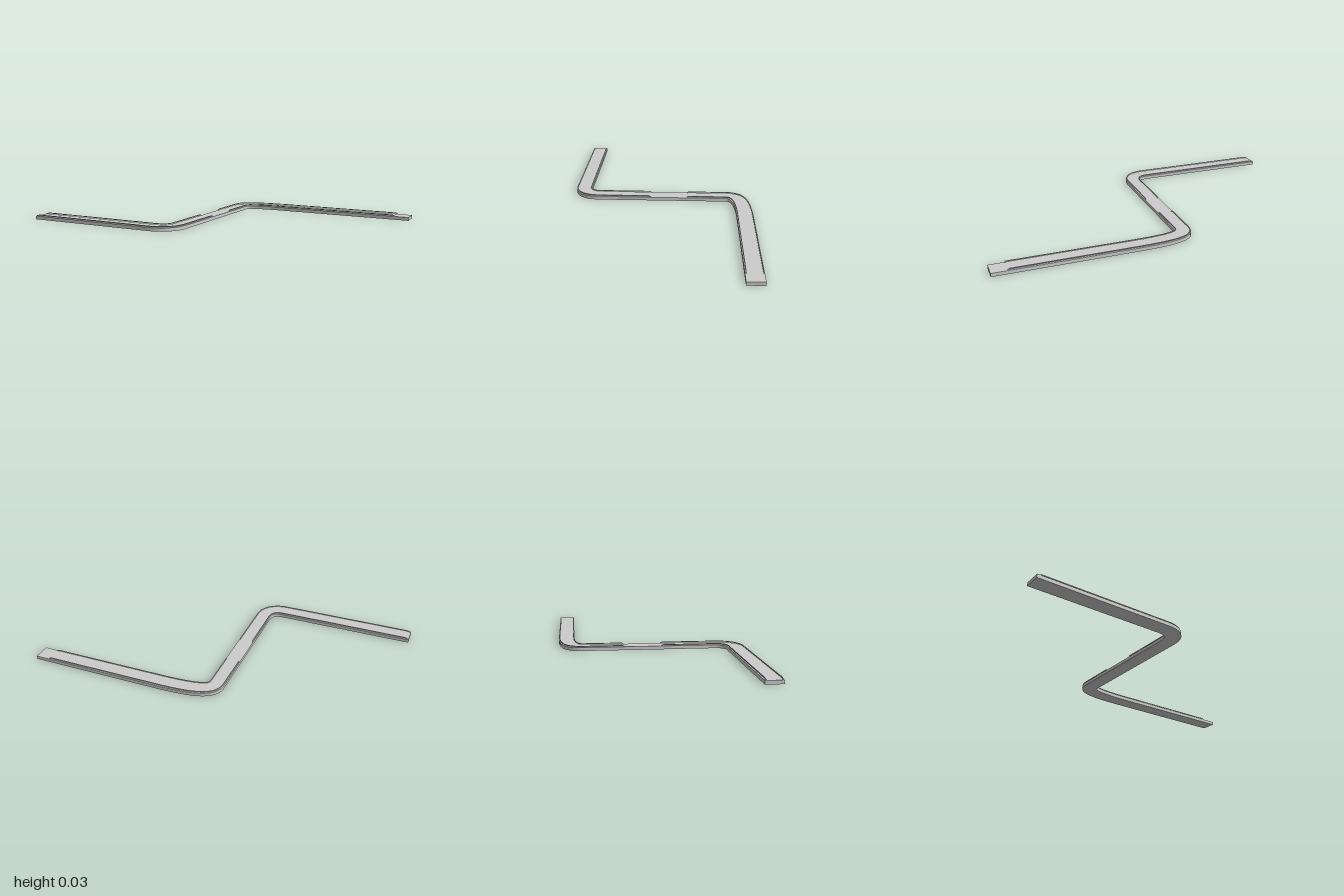
import * as THREE from 'three';

const V = (x, z) => new THREE.Vector2(x, z);
const material = new THREE.MeshStandardMaterial({ color: 0xcccccc, flatShading: true });

// Samples of a bend in plan (x, z), each with its travel direction
function bend(a, b, c, d, n = 14) {
  const curve = new THREE.CubicBezierCurve(a, b, c, d);
  return Array.from({ length: n + 1 }, (_, i) => ({ p: curve.getPoint(i / n), t: curve.getTangent(i / n) }));
}

const frontBend = bend(V(-0.2, 0.49), V(-0.13, 0.49), V(-0.0865, 0.45), V(-0.0865, 0.38));
const backBend = bend(V(-0.0865, -0.39), V(-0.0865, -0.46), V(-0.03, -0.488), V(0.2, -0.491));
const alongX = (x, z) => ({ p: V(x, z), t: V(1, 0) });
const alongZ = (z) => ({ p: V(-0.0865, z), t: V(0, -1) });

// Sweeps a rectangular section along the path; section(i, halfWidth) gives [inner, outer, bottom, top]
function sweep(name, path, section) {
  const pos = [], idx = [];
  path.forEach(({ p, t }, i) => {
    const halfWidth = 0.044 + 0.004 * Math.abs(t.x);
    const [s0, s1, y0, y1] = section(i, halfWidth);
    for (const [s, y] of [[s0, y0], [s1, y0], [s1, y1], [s0, y1]]) {
      pos.push(p.x - t.y * s, y, p.y + t.x * s);
    }
  });
  for (let k = 0; k < path.length - 1; k++) {
    for (let i = 0; i < 4; i++) {
      const a = k * 4 + i, b = k * 4 + (i + 1) % 4;
      idx.push(a, a + 4, b + 4, a, b + 4, b);
    }
  }
  const e = (path.length - 1) * 4;
  idx.push(0, 1, 2, 0, 2, 3, e, e + 2, e + 1, e, e + 3, e + 2);
  const indexed = new THREE.BufferGeometry();
  indexed.setAttribute('position', new THREE.Float32BufferAttribute(pos, 3));
  indexed.setIndex(idx);
  const geometry = indexed.toNonIndexed();
  geometry.computeVertexNormals();
  const mesh = new THREE.Mesh(geometry, material);
  mesh.name = name;
  return mesh;
}

export function createModel() {
  const group = new THREE.Group();
  group.name = 'zigzagRoad';

  // Road slab
  const road = [alongX(-1, 0.49), ...frontBend, ...backBend, alongX(1, -0.491)];
  group.add(sweep('roadSlab', road, (i, w) => [-w, w, 0, 0.02]));

  // Guard rails on both edges of each bend, raised with ends dipping to the slab
  const rails = {
    frontRail: [alongX(-0.995, 0.49), alongX(-0.975, 0.49), ...frontBend, alongZ(0.075), alongZ(0.065)],
    backRail: [alongZ(-0.155), alongZ(-0.165), ...backBend, alongX(0.905, -0.491), alongX(0.915, -0.491)],
  };
  for (const [name, path] of Object.entries(rails)) {
    for (const side of [-1, 1]) {
      group.add(sweep(name + (side < 0 ? 'Inner' : 'Outer'), path, (i, w) => {
        const y = i === 0 || i === path.length - 1 ? 0.019 : 0.0245;
        const s = side * w * 0.88;
        return [s - 0.002, s + 0.002, y, y + 0.0045];
      }));
    }
  }
  return group;
}
